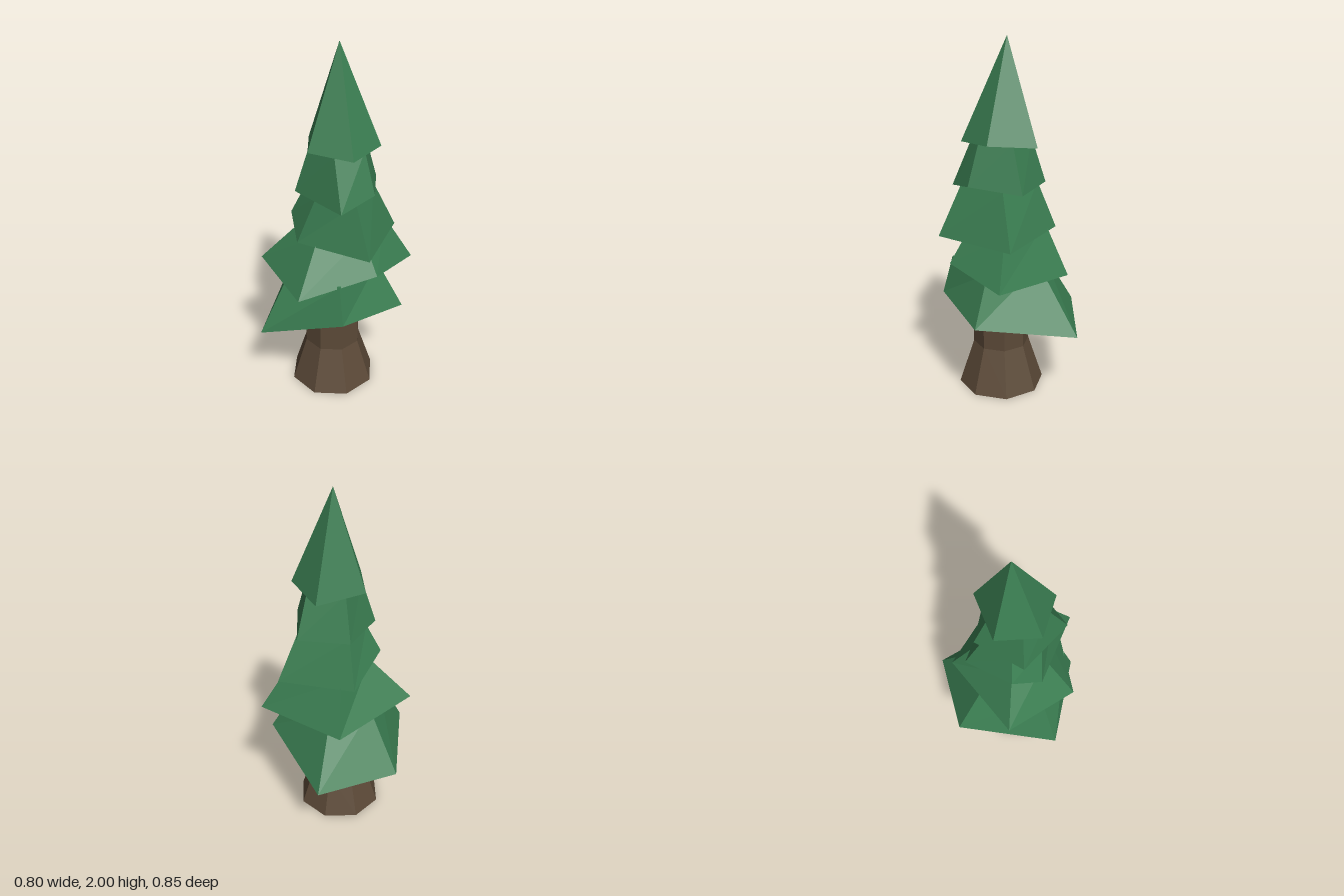
import * as THREE from 'three';

const foliage = new THREE.MeshStandardMaterial({ color: 0x3a7d51 });
foliage.name = 'foliageGreen';
const bark = new THREE.MeshStandardMaterial({ color: 0x5c4a38 });
bark.name = 'barkBrown';

// Flat-faced skirt: rim points [x, y, z] run anticlockwise seen from above;
// the top is a ring of [x, z] at one height, or a single apex.
function skirt(rim, topY, top) {
  const pos = [];
  const tri = (...pts) => pts.forEach((p) => pos.push(...p));
  const n = rim.length;
  const upper = rim.map((_, i) => {
    const [x, z] = top[i % top.length];
    return [x, topY, z];
  });
  const mean = (pts) => [0, 1, 2].map((k) => pts.reduce((s, p) => s + p[k], 0) / n);
  const under = mean(rim);
  const crown = mean(upper);
  for (let i = 0; i < n; i++) {
    const j = (i + 1) % n;
    tri(rim[j], rim[i], under);
    if (top.length > 1) {
      tri(rim[i], rim[j], upper[j]);
      tri(rim[i], upper[j], upper[i]);
      tri(upper[i], upper[j], crown);
    } else {
      tri(rim[i], rim[j], upper[i]);
    }
  }
  const g = new THREE.BufferGeometry();
  g.setAttribute('position', new THREE.Float32BufferAttribute(pos, 3));
  g.computeVertexNormals();
  return g;
}

// Branch tiers from the lowest to the tip
const tiers = [
  {
    rim: [[-0.04, 0.395, -0.425], [-0.4, 0.43, -0.145], [-0.25, 0.425, 0.42], [0.21, 0.555, 0.33], [0.395, 0.505, -0.06]],
    topY: 0.77,
    top: [[-0.02, -0.175], [-0.21, -0.06], [-0.14, 0.27], [0.17, 0.29], [0.25, -0.03]],
  },
  {
    rim: [[-0.12, 0.71, -0.3], [-0.375, 0.75, 0.17], [-0.01, 0.705, 0.42], [0.33, 0.81, 0.165], [0.38, 0.745, -0.215]],
    topY: 1.0,
    top: [[-0.08, -0.17], [-0.15, 0.09], [0.01, 0.22], [0.22, 0.11], [0.24, -0.14]],
  },
  {
    rim: [[-0.16, 0.96, -0.185], [-0.205, 1.055, 0.115], [-0.1, 0.955, 0.25], [0.32, 0.945, 0.25], [0.275, 0.935, -0.205]],
    topY: 1.22,
    top: [[-0.1, -0.1], [-0.13, 0.08], [-0.01, 0.2], [0.21, 0.18], [0.19, -0.09]],
  },
  {
    rim: [[0.16, 1.215, -0.195], [-0.12, 1.22, -0.14], [-0.155, 1.21, 0.16], [0.17, 1.195, 0.275], [0.27, 1.24, 0.08]],
    topY: 1.47,
    top: [[0.13, -0.11], [-0.07, -0.08], [-0.085, 0.12], [0.09, 0.19], [0.2, 0.06]],
  },
  {
    rim: [[0.045, 1.445, -0.205], [-0.155, 1.46, -0.01], [-0.05, 1.47, 0.21], [0.195, 1.455, 0.185], [0.25, 1.47, -0.035]],
    topY: 2,
    top: [[0.03, 0.005]],
  },
];

export function createModel() {
  const tree = new THREE.Group();
  tree.name = 'pineTree';

  // Eight-sided trunk with a flared foot
  const profile = [[0, 0], [0.243, 0], [0.159, 0.26], [0.159, 0.6], [0, 0.6]].map((p) => new THREE.Vector2(...p));
  const trunkGeo = new THREE.LatheGeometry(profile, 8).toNonIndexed();
  trunkGeo.computeVertexNormals();
  const trunk = new THREE.Mesh(trunkGeo, bark);
  trunk.name = 'trunk';
  trunk.position.set(0.018, 0, 0.062);
  tree.add(trunk);

  tiers.forEach(({ rim, topY, top }, i) => {
    const mesh = new THREE.Mesh(skirt(rim, topY, top), foliage);
    mesh.name = i === tiers.length - 1 ? 'treeTop' : `branchTier${i + 1}`;
    tree.add(mesh);
  });
  return tree;
}
